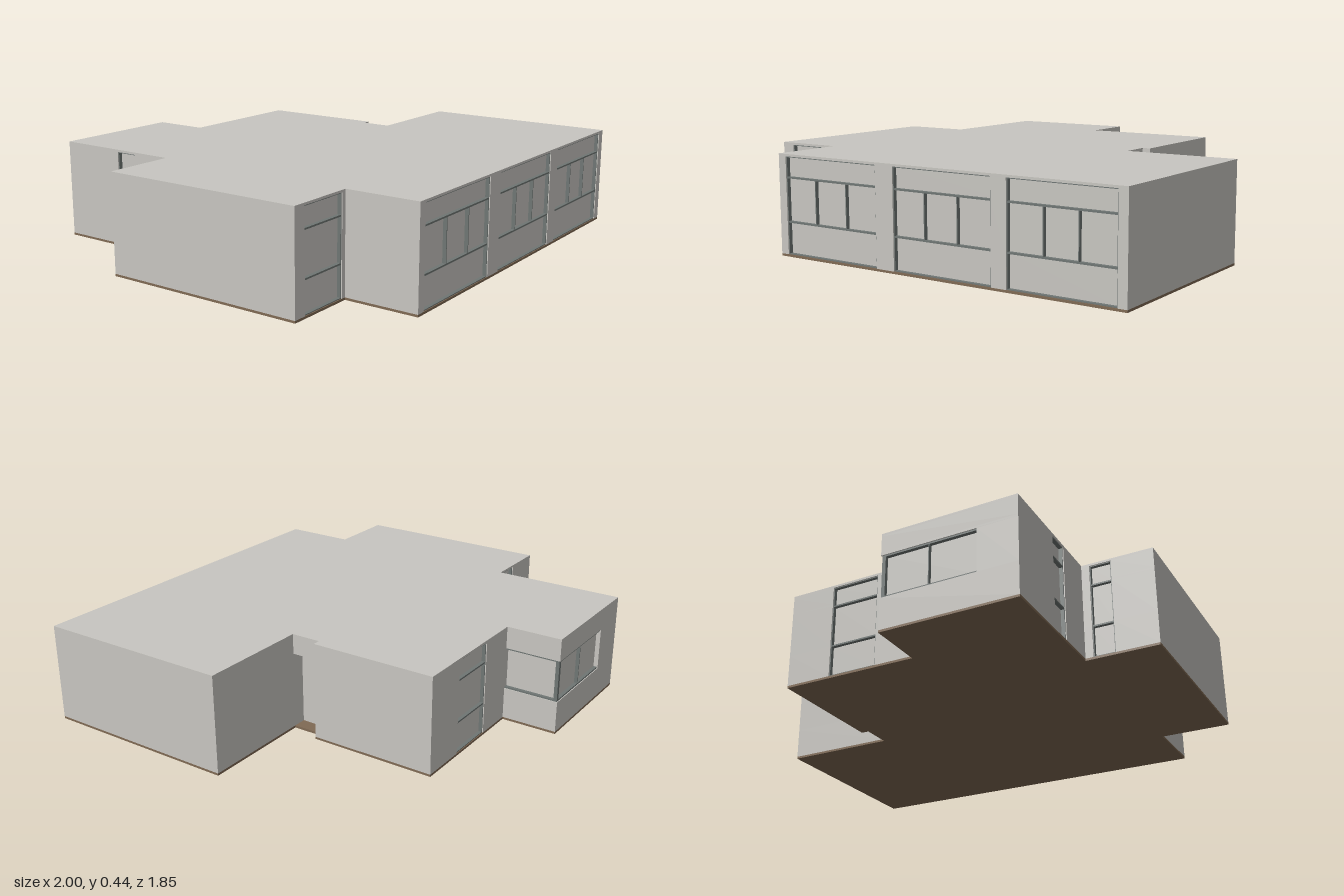
import * as THREE from 'three';

const B = 0.927, TOP = 0.44, DEPTH = 0.02;
const SILL = 0.15, HEAD = 0.34, LOW = 0.01, HIGH = 0.43;

// Walls in walking order: start corner (x, z) and the full-height window bays
// on the wall that follows. Each bay: from, to, mullion positions.
const WALLS = [
  { at: [-0.685, -B] },
  { at: [-0.085, -B] },
  { at: [-0.085, -0.675], bays: [[0.095, 0.32, []]] },
  { at: [0.53, -0.675] },
  { at: [0.53, -0.105] },
  { at: [0.495, -0.105], door: [-0.105, 0.03] },
  { at: [0.495, 0.03] },
  { at: [1, 0.03] },
  { at: [1, B], bays: [[0.96, 0.49, [0.8, 0.65]], [0.42, -0.055, [0.26, 0.1]], [-0.145, -0.645, [-0.31, -0.48]]] },
  { at: [-0.685, B] },
  { at: [-0.685, 0.6], bays: [[-0.705, -0.94, []]] },
  { at: [-1, 0.6] },
  { at: [-1, -0.325], bays: [[-0.815, -0.72, []]] },
  { at: [-0.685, -0.325], bays: [[-0.51, -0.615, []]] },
];

// Turns a coordinate along a wall and an inward distance into (x, z)
function wallPoint(i) {
  const a = WALLS[i].at, b = WALLS[(i + 1) % WALLS.length].at;
  const dx = Math.sign(b[0] - a[0]), dz = Math.sign(b[1] - a[1]);
  const point = (u, inset) => dx !== 0 ? [u, a[1] + dx * inset] : [a[0] - dz * inset, u];
  return { point, alongX: dx !== 0 };
}

// Building outline at one level, with the openings cut in
function outline({ bays = false, door = false, corner = false }) {
  const pts = [];
  const add = (p) => {
    const q = pts[pts.length - 1];
    if (!q || Math.hypot(p[0] - q[0], p[1] - q[1]) > 1e-5) pts.push(p);
  };
  WALLS.forEach((w, i) => {
    const { point } = wallPoint(i);
    if (corner && i === 1) {
      [[-0.51, -B], [-0.51, -B + DEPTH], [-0.085 - DEPTH, -B + DEPTH], [-0.085 - DEPTH, -0.675]].forEach(add);
    }
    if (!(corner && i === 1)) add(w.at);
    const notch = (u0, u1, d) => [[u0, 0], [u0, d], [u1, d], [u1, 0]].forEach(([u, n]) => add(point(u, n)));
    if (bays) (w.bays || []).forEach(([u0, u1]) => notch(u0, u1, DEPTH));
    if (door && w.door) notch(w.door[0], w.door[1], 0.06);
  });
  return new THREE.Shape(pts.map(([x, z]) => new THREE.Vector2(x, -z)));
}

export function createModel() {
  const model = new THREE.Group();
  model.name = 'flatRoofedBuilding';
  const wallMat = new THREE.MeshStandardMaterial({ color: 0xc8c6c1 });
  wallMat.name = 'wallGrey';
  const floorMat = new THREE.MeshStandardMaterial({ color: 0x806a54 });
  floorMat.name = 'floorBrown';
  const frameMat = new THREE.MeshStandardMaterial({ color: 0x6f7674 });
  frameMat.name = 'frameGrey';

  const slab = (name, y0, y1, cuts, mat) => {
    const geo = new THREE.ExtrudeGeometry(outline(cuts), { depth: y1 - y0, bevelEnabled: false });
    geo.rotateX(-Math.PI / 2).translate(0, y0, 0);
    const mesh = new THREE.Mesh(geo, mat);
    mesh.name = name;
    model.add(mesh);
  };

  // Floor, walls in levels, roof
  slab('floor', 0, LOW, {}, floorMat);
  slab('lowerWalls', LOW, SILL, { bays: true, door: true }, wallMat);
  slab('windowWalls', SILL, HEAD, { bays: true, door: true, corner: true }, wallMat);
  slab('doorHeadWalls', HEAD, 0.35, { bays: true, door: true }, wallMat);
  slab('upperWalls', 0.35, HIGH, { bays: true }, wallMat);
  slab('roof', HIGH, TOP, {}, wallMat);

  const box = (parent, name, mat, size, pos) => {
    const mesh = new THREE.Mesh(new THREE.BoxGeometry(...size), mat);
    mesh.position.set(...pos);
    mesh.name = name;
    parent.add(mesh);
  };

  // A frame bar set inside the recess of wall i
  const bar = (parent, name, i, u0, u1, y0, y1) => {
    const { point, alongX } = wallPoint(i);
    const [x, z] = point((u0 + u1) / 2, DEPTH * 0.6);
    const len = Math.abs(u1 - u0), deep = DEPTH * 0.8;
    box(parent, name, frameMat, alongX ? [len, y1 - y0, deep] : [deep, y1 - y0, len], [x, (y0 + y1) / 2, z]);
  };

  // Window bays: rails, jambs and mullions
  const T = 0.007, M = 0.002;
  WALLS.forEach((w, i) => (w.bays || []).forEach(([a, b, mullions]) => {
    const bay = new THREE.Group();
    bay.name = 'windowBay';
    const u0 = Math.min(a, b), u1 = Math.max(a, b);
    bar(bay, 'sillRail', i, u0, u1, SILL - T / 2, SILL + T / 2);
    bar(bay, 'headRail', i, u0, u1, HEAD - T / 2, HEAD + T / 2);
    bar(bay, 'bottomRail', i, u0, u1, LOW, LOW + 0.004);
    bar(bay, 'topRail', i, u0, u1, HIGH - 0.004, HIGH);
    bar(bay, 'jamb', i, u0, u0 + 0.004, LOW, HIGH);
    bar(bay, 'jamb', i, u1 - 0.004, u1, LOW, HIGH);
    mullions.forEach((u) => bar(bay, 'mullion', i, u - M, u + M, SILL, HEAD));
    model.add(bay);
  }));

  // Window wrapping the back corner
  const corner = new THREE.Group();
  corner.name = 'cornerWindow';
  [[SILL, SILL + T], [HEAD - T, HEAD]].forEach(([y0, y1]) => {
    bar(corner, 'backRail', 0, -0.51, -0.089, y0, y1);
    bar(corner, 'sideRail', 1, -B + 0.004, -0.675, y0, y1);
  });
  bar(corner, 'mullion', 0, -0.302, -0.298, SILL, HEAD);
  bar(corner, 'cornerPost', 0, -0.105, -0.089, SILL, HEAD);
  model.add(corner);

  // Door leaf standing at the side of the entry
  box(model, 'doorLeaf', floorMat, [0.06, 0.34, 0.008], [0.465, 0.18, -0.101]);

  return model;
}
